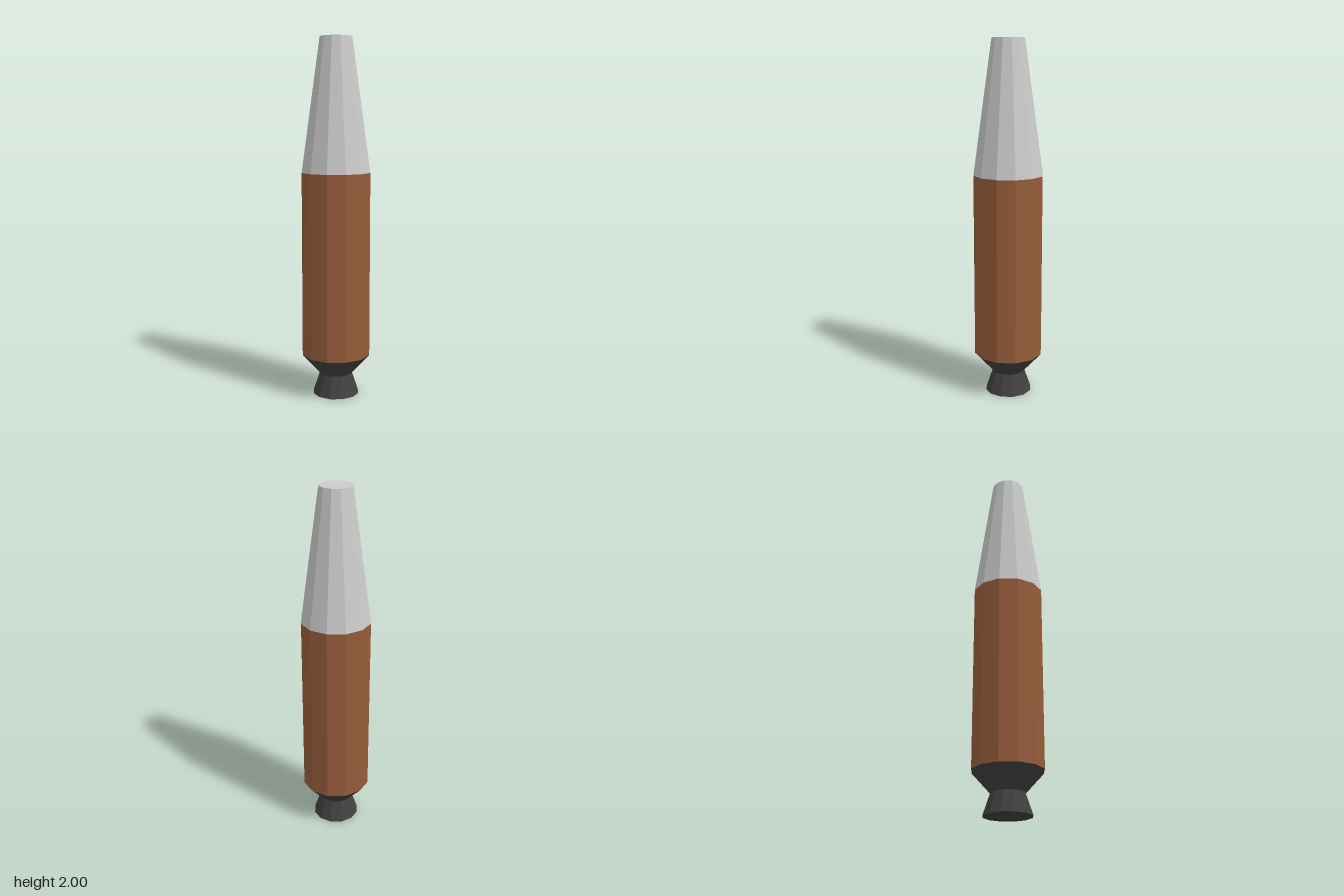
import * as THREE from 'three';

const SIDES = 12;

export function createModel() {
  const model = new THREE.Group();
  model.name = 'lamp';

  const paint = (color) => new THREE.MeshStandardMaterial({ color, flatShading: true });
  const dark = paint(0x404040);
  const brown = paint(0x965c3a);
  const grey = paint(0xcccccc);

  // One faceted section between two heights; joined ends stay open
  function section(name, y0, r0, y1, r1, material, closedEnd = 0) {
    const geometry = new THREE.CylinderGeometry(r1, r0, y1 - y0, SIDES, 1, true);
    const mesh = new THREE.Mesh(geometry, material);
    mesh.name = name;
    mesh.position.y = (y0 + y1) / 2;
    model.add(mesh);

    // Flat end: +1 closes the top, -1 the bottom
    if (closedEnd) {
      const cap = new THREE.Mesh(new THREE.CircleGeometry(closedEnd > 0 ? r1 : r0, SIDES), material);
      cap.name = name + 'End';
      cap.rotation.x = -closedEnd * Math.PI / 2;
      cap.position.y = closedEnd * (y1 - y0) / 2;
      mesh.add(cap);
    }
  }

  section('foot', 0, 0.132, 0.118, 0.092, dark, -1);
  section('collar', 0.118, 0.092, 0.232, 0.195, dark);
  section('body', 0.232, 0.195, 1.265, 0.195, brown);
  section('taperedTop', 1.265, 0.195, 2, 0.091, grey, 1);

  return model;
}
